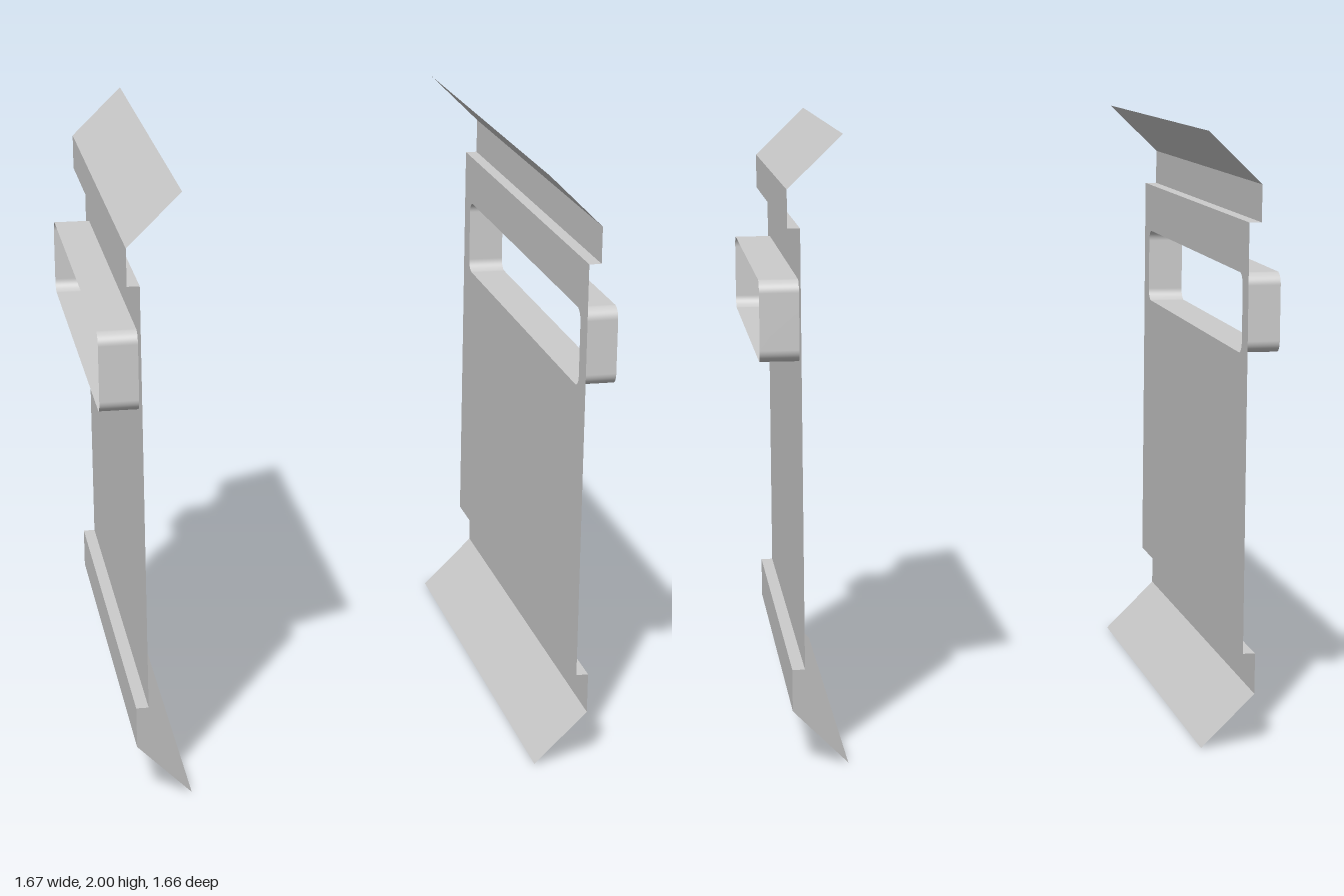
import * as THREE from 'three';

const HALF_LENGTH = 0.83;
const PANEL_X = 0.71;   // recessed main sheet
const STRIP_X = 0.75;   // raised edge strips
const FLANGE_X = 0.575; // inner lip of the bent flanges
const COLLAR_X = 0.835; // outer rim of the window collar

// Rectangle with rounded corners, drawn as (z, y)
function roundedRect(path, x0, y0, x1, y1, r) {
  path.moveTo(x0 + r, y0);
  path.lineTo(x1 - r, y0);
  path.absarc(x1 - r, y0 + r, r, -Math.PI / 2, 0);
  path.lineTo(x1, y1 - r);
  path.absarc(x1 - r, y1 - r, r, 0, Math.PI / 2);
  path.lineTo(x0 + r, y1);
  path.absarc(x0 + r, y1 - r, r, Math.PI / 2, Math.PI);
  path.lineTo(x0, y0 + r);
  path.absarc(x0 + r, y0 + r, r, Math.PI, Math.PI * 1.5);
  return path;
}

// Thin sheet between two matching rows of points
function sheet(rowA, rowB) {
  const n = rowA.length;
  const index = [];
  for (let i = 0; i < n - 1; i++) index.push(i, i + 1, n + i, i + 1, n + i + 1, n + i);
  const geometry = new THREE.BufferGeometry().setFromPoints([...rowA, ...rowB]);
  geometry.setIndex(index);
  geometry.computeVertexNormals();
  return geometry;
}

// Flat strip running the full length between two (x, y) profile points
function bentStrip([xa, ya], [xb, yb]) {
  const row = (z) => [new THREE.Vector3(xa, ya, z), new THREE.Vector3(xb, yb, z)];
  return sheet(row(HALF_LENGTH), row(-HALF_LENGTH));
}

function createSide(metal) {
  const side = new THREE.Group();
  const add = (name, geometry) => {
    const mesh = new THREE.Mesh(geometry, metal);
    mesh.name = name;
    side.add(mesh);
  };

  // Main sheet with the window cut out
  const window = roundedRect(new THREE.Path(), -0.75, 1.28, 0.75, 1.54, 0.04);
  const outline = new THREE.Shape([
    new THREE.Vector2(-HALF_LENGTH, 0.31),
    new THREE.Vector2(HALF_LENGTH, 0.31),
    new THREE.Vector2(HALF_LENGTH, 1.71),
    new THREE.Vector2(-HALF_LENGTH, 1.71),
  ]);
  outline.holes.push(window);
  const panel = new THREE.ShapeGeometry(outline, 8);
  panel.rotateY(Math.PI / 2);
  panel.translate(PANEL_X, 0, 0);
  add('panel', panel);

  // Collar standing out around the window
  const rim = window.getPoints(8);
  rim.push(rim[0].clone());
  const ring = (x) => rim.map((p) => new THREE.Vector3(x, p.y, p.x));
  add('windowCollar', sheet(ring(COLLAR_X), ring(PANEL_X)));

  // Step, raised strip and inward flange along the top and bottom edges
  const edges = { top: [1.71, 1.83, 2], bottom: [0.31, 0.175, 0] };
  for (const [name, [stepY, bendY, lipY]] of Object.entries(edges)) {
    const profile = [[PANEL_X, stepY], [STRIP_X, stepY], [STRIP_X, bendY], [FLANGE_X, lipY]];
    if (name === 'bottom') profile.reverse();
    const parts = ['Step', 'Strip', 'Flange'];
    if (name === 'bottom') parts.reverse();
    parts.forEach((part, i) => add(name + part, bentStrip(profile[i + 1], profile[i])));
  }
  return side;
}

export function createModel() {
  const model = new THREE.Group();
  model.name = 'sidePanels';
  const metal = new THREE.MeshStandardMaterial({ color: 0xcccccc, side: THREE.DoubleSide });
  metal.name = 'light grey metal';

  const left = createSide(metal);
  left.name = 'leftSide';
  const right = createSide(metal);
  right.name = 'rightSide';
  right.rotation.y = Math.PI;
  model.add(left, right);
  return model;
}
